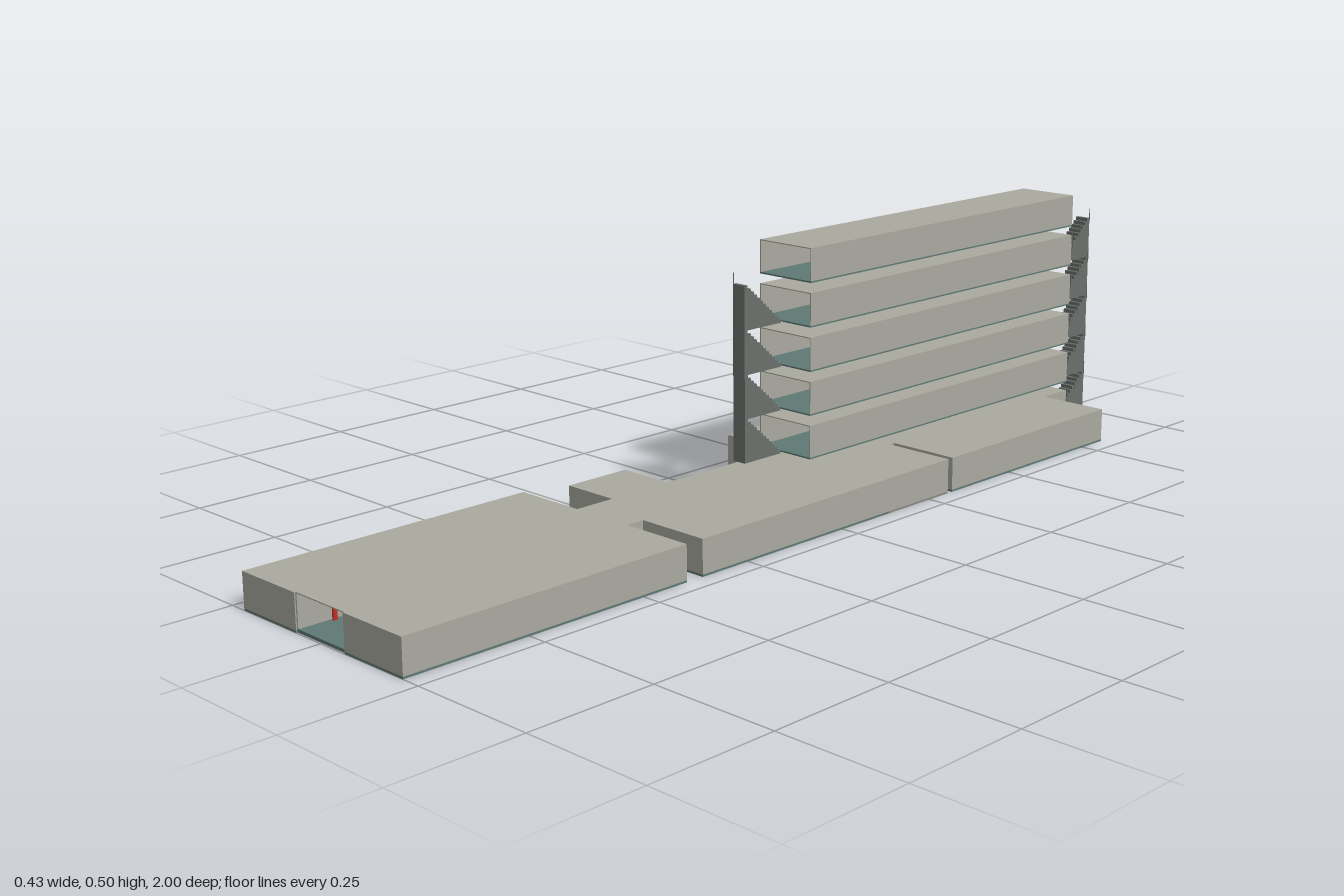
import * as THREE from 'three';

const mat = (color) => new THREE.MeshStandardMaterial({ color });
const WALL = mat(0xaaaaa0), TEAL = mat(0x5f7a75), GREY = mat(0x8a8a86), BROWN = mat(0x93857c);
const STEEL = mat(0x6b706c), RED = mat(0xc8302a), LIGHT = mat(0xcccccc);

const T = 0.002;                 // wall thickness
const X0 = -0.067, X1 = 0.064;   // corridor sides
const H = 0.066;                 // storey shell height
const BACK = -0.893;             // rear end of the wing

// Box given by its two corners
function box(parent, name, material, x0, x1, y0, y1, z0, z1) {
  const mesh = new THREE.Mesh(new THREE.BoxGeometry(x1 - x0, y1 - y0, z1 - z0), material);
  mesh.position.set((x0 + x1) / 2, (y0 + y1) / 2, (z0 + z1) / 2);
  mesh.name = name;
  parent.add(mesh);
  return mesh;
}

// Corridor storey: floor, roof and two long walls, open at both ends
function corridor(name, y, z0, z1) {
  const g = new THREE.Group();
  g.name = name;
  box(g, 'floor', TEAL, X0, X1, y, y + 0.003, z0, z1);
  box(g, 'roof', WALL, X0, X1, y + H - T, y + H, z0, z1);
  box(g, 'rightWall', WALL, X0, X0 + T, y + 0.003, y + H - T, z0, z1);
  box(g, 'leftWall', WALL, X1 - T, X1, y + 0.003, y + H - T, z0, z1);
  // Row of ceiling lights
  for (let z = z0 + 0.08; z < z1 - 0.04; z += 0.16) {
    box(g, 'ceilingLight', LIGHT, -0.02, 0.016, y + H - T - 0.001, y + H - T, z - 0.01, z + 0.01);
  }
  return g;
}

// Hollow side room with its own floor and end wall
function room(name, x0, x1, z0, z1, floor = TEAL, endWall = WALL) {
  const g = new THREE.Group(), top = 0.003 + H;
  g.name = name;
  const left = x1 > 0.1;
  box(g, 'floor', floor, x0, x1, 0, 0.004, z0, z1);
  box(g, 'roof', WALL, x0, x1, top - T, top, z0, z1);
  box(g, 'backWall', WALL, x0, x1, 0.004, top - T, z0, z0 + T);
  box(g, 'frontWall', WALL, x0, x1, 0.004, top - T, z1 - T, z1);
  const e = left ? x1 - T : x0;
  box(g, 'endWall', endWall, e, e + T, 0.004, top - T, z0 + T, z1 - T);
  return g;
}

// Stepped flight rising outward from the building
const RISE = 0.0855, RUN = 0.098, STEPS = 12;
function flightGeometry(angle) {
  const s = new THREE.Shape();
  s.moveTo(0, 0);
  for (let i = 0; i < STEPS; i++) {
    s.lineTo(RUN * i / STEPS, RISE * (i + 1) / STEPS);
    s.lineTo(RUN * (i + 1) / STEPS, RISE * (i + 1) / STEPS);
  }
  s.lineTo(RUN, 0);
  s.closePath();
  return new THREE.ExtrudeGeometry(s, { depth: 0.03, bevelEnabled: false }).rotateY(angle);
}

// Stack of flights with thin rail posts on the outer side
function stairTower(name, dir, x, z, levels) {
  const g = new THREE.Group();
  g.name = name;
  const geometry = flightGeometry(-dir * Math.PI / 2);
  for (const y of levels) {
    const flight = new THREE.Mesh(geometry, STEEL);
    flight.name = 'stairFlight';
    flight.position.set(x, y, z);
    g.add(flight);
    const rx = x - dir * 0.032;
    for (const f of [0.08, 0.36, 0.64, 0.97]) {
      const pz = z + dir * RUN * f, py = y + RISE * f;
      box(g, 'railPost', STEEL, rx - 0.0006, rx + 0.0006, py - 0.004, py + 0.023, pz - 0.0006, pz + 0.0006);
    }
  }
  return g;
}

export function createModel() {
  const model = new THREE.Group();
  model.name = 'building';
  const levels = [0.003, 0.0875, 0.173, 0.2585, 0.344, 0.429];

  // Ground storey corridor on its base slab
  box(model, 'baseSlab', TEAL, X0, X1, 0, 0.003, BACK, 0.997);
  model.add(corridor('groundCorridor', 0.003, BACK, 0.997));

  // Rooms along the left side
  const L = 0.213;
  model.add(
    room('leftRoom', X1, L, 0.858, 1),
    room('leftRoom', X1, L, 0.4, 0.858),
    room('leftRoom', X1, L, 0.2, 0.362),
    room('leftRoom', X1, L, -0.13, 0.2),
    room('leftRoom', X1, L, -0.305, -0.13, GREY),
    room('leftRoom', X1, L, -0.815, -0.318),
  );
  // Rooms along the right side
  model.add(
    room('rightRoom', -0.215, X0, 0.4, 1),
    room('rightEntrance', -0.185, X0, 0.175, 0.316, BROWN, TEAL),
    room('rightRoom', -0.215, X0, -0.135, 0 - 0.135 + 0.001, GREY),
    room('rightRoom', -0.215, X0, -0.303, -0.135, GREY),
  );

  // Upper storeys
  for (const y of levels.slice(1)) model.add(corridor('upperStorey', y, BACK, -0.072));

  // Outside stairs at both ends
  model.add(stairTower('frontStairs', 1, -0.005, -0.064, levels.slice(1, 5)));
  model.add(stairTower('backStairs', -1, 0.003, -0.902, levels.slice(0, 5)));

  // Fire point by the front entrance
  const tank = new THREE.Mesh(new THREE.CylinderGeometry(0.0045, 0.0045, 0.024, 16), RED);
  tank.name = 'extinguisher';
  tank.position.set(-0.0595, 0.018, 0.93);
  model.add(tank);
  box(model, 'extinguisherSign', STEEL, X0 + T, X0 + T + 0.004, 0.031, 0.049, 0.92, 0.94);

  // Doors along the ground corridor
  for (const z of [0.9, 0.7, 0.5, 0.28, 0.0, -0.2, -0.45, -0.7]) {
    box(model, 'corridorDoor', TEAL, X1 - T - 0.001, X1 - T, 0.006, 0.05, z - 0.014, z + 0.014);
  }
  return model;
}
